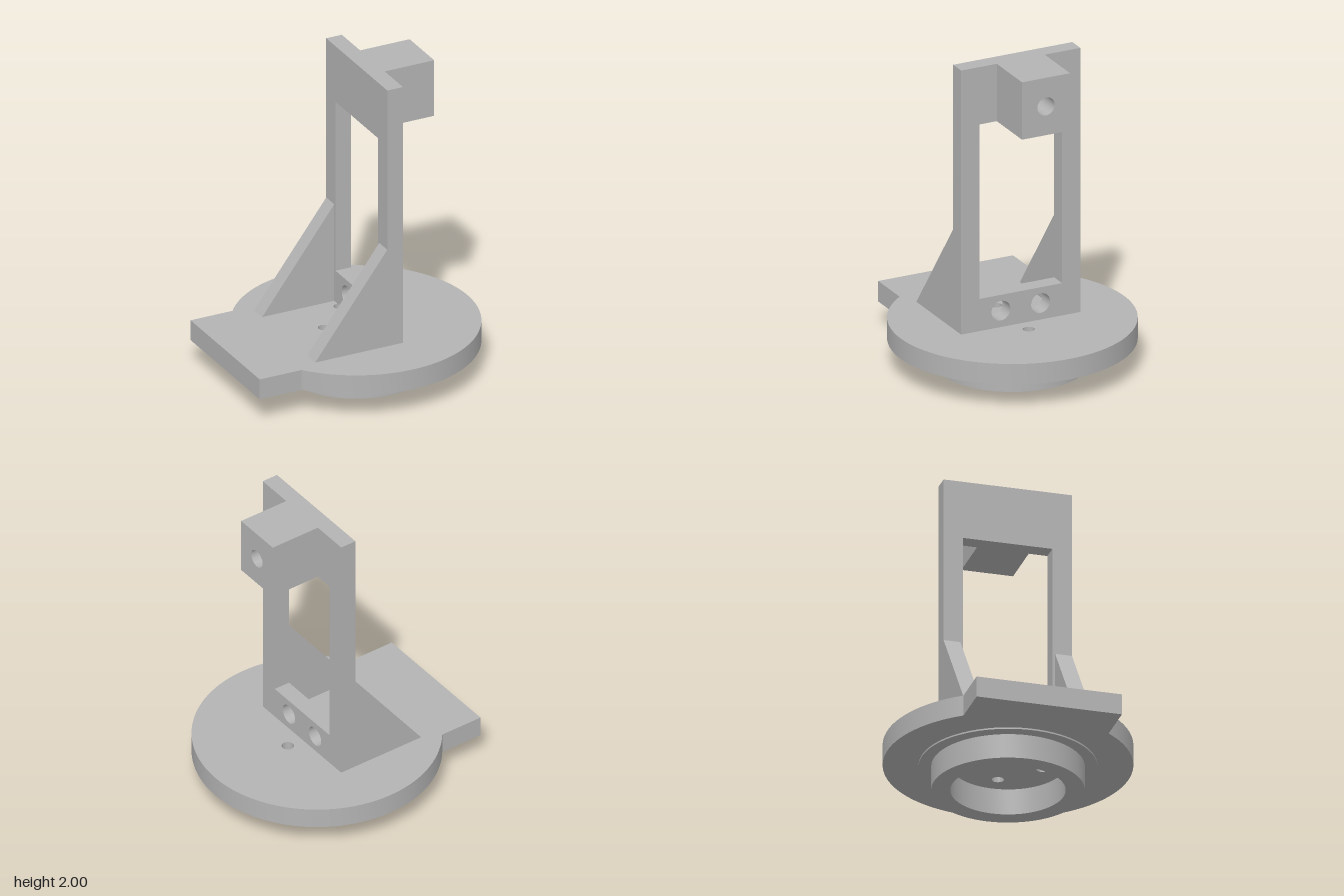
import * as THREE from 'three';
import { toCreasedNormals } from 'three/addons/utils/BufferGeometryUtils.js';

const CX = 0.065; // axis of the round base

export function createModel() {
  const model = new THREE.Group();
  model.name = 'bracketStand';
  const grey = new THREE.MeshStandardMaterial({ color: 0xb4b4b4 });
  grey.name = 'plain grey';

  const circle = (x, y, r) => new THREE.Path().absarc(x, y, r, 0, Math.PI * 2, true);
  const disc = (x, y, r) => new THREE.Shape().absarc(x, y, r, 0, Math.PI * 2, false);
  const rect = (x0, y0, x1, y1) => new THREE.Shape([
    new THREE.Vector2(x0, y0), new THREE.Vector2(x1, y0),
    new THREE.Vector2(x1, y1), new THREE.Vector2(x0, y1),
  ]);
  const extrude = (shape, depth) => new THREE.ExtrudeGeometry(shape, { depth, bevelEnabled: false, curveSegments: 48 });
  const add = (name, geometry) => {
    const mesh = new THREE.Mesh(toCreasedNormals(geometry, 0.4), grey);
    mesh.name = name;
    model.add(mesh);
  };
  // Plan outline raised from y0 to y1
  const raise = (name, shape, y0, y1) =>
    add(name, extrude(shape, y1 - y0).rotateX(-Math.PI / 2).translate(0, y0, 0));
  // Side outline (z, y) swept from x0 to x1
  const sweepX = (name, shape, x0, x1) =>
    add(name, extrude(shape, x1 - x0).rotateY(Math.PI / 2).translate(x0, 0, 0));

  // Round base plate with a square tab and four screw holes
  const R = 0.75, tab = 0.4525;
  const a = Math.PI - Math.asin(tab / R);
  const plate = new THREE.Shape();
  plate.moveTo(-0.815, -tab);
  plate.lineTo(CX + R * Math.cos(a), -tab);
  plate.absarc(CX, 0, R, -a, a, false);
  plate.lineTo(-0.815, tab);
  plate.closePath();
  for (let i = 0; i < 4; i++) {
    const t = i * Math.PI / 2;
    plate.holes.push(circle(CX + 0.215 * Math.cos(t), 0.215 * Math.sin(t), 0.037));
  }
  raise('basePlate', plate, 0.165, 0.297);

  // Thin shoulder and hollow collar underneath
  for (const [name, r, y0, y1] of [['shoulder', 0.535, 0.155, 0.165], ['collar', 0.46, 0, 0.155]]) {
    const ring = disc(CX, 0, r);
    ring.holes.push(circle(CX, 0, 0.345));
    raise(name, ring, y0, y1);
  }

  // Upright frame with a window and two cable holes
  const frame = rect(-0.4, 0.297, 0.4, 2);
  frame.holes.push(rect(-0.278, 0.505, 0.278, 1.63));
  for (const s of [-1, 1]) frame.holes.push(circle(s * 0.133, 0.403, 0.063));
  sweepX('uprightFrame', frame, 0.07, 0.175);

  // Mounting block with a round socket
  const block = rect(-0.161, 1.63, 0.161, 2);
  block.holes.push(circle(0, 1.815, 0.058));
  sweepX('mountingBlock', block, 0.175, 0.508);

  // Sloping gussets behind the frame
  const gusset = new THREE.Shape([
    new THREE.Vector2(-0.415, 0.297), new THREE.Vector2(0.07, 0.297), new THREE.Vector2(0.07, 0.94),
  ]);
  for (const [name, z] of [['leftGusset', 0.295], ['rightGusset', -0.4]])
    add(name, extrude(gusset, 0.105).translate(0, 0, z));

  return model;
}
